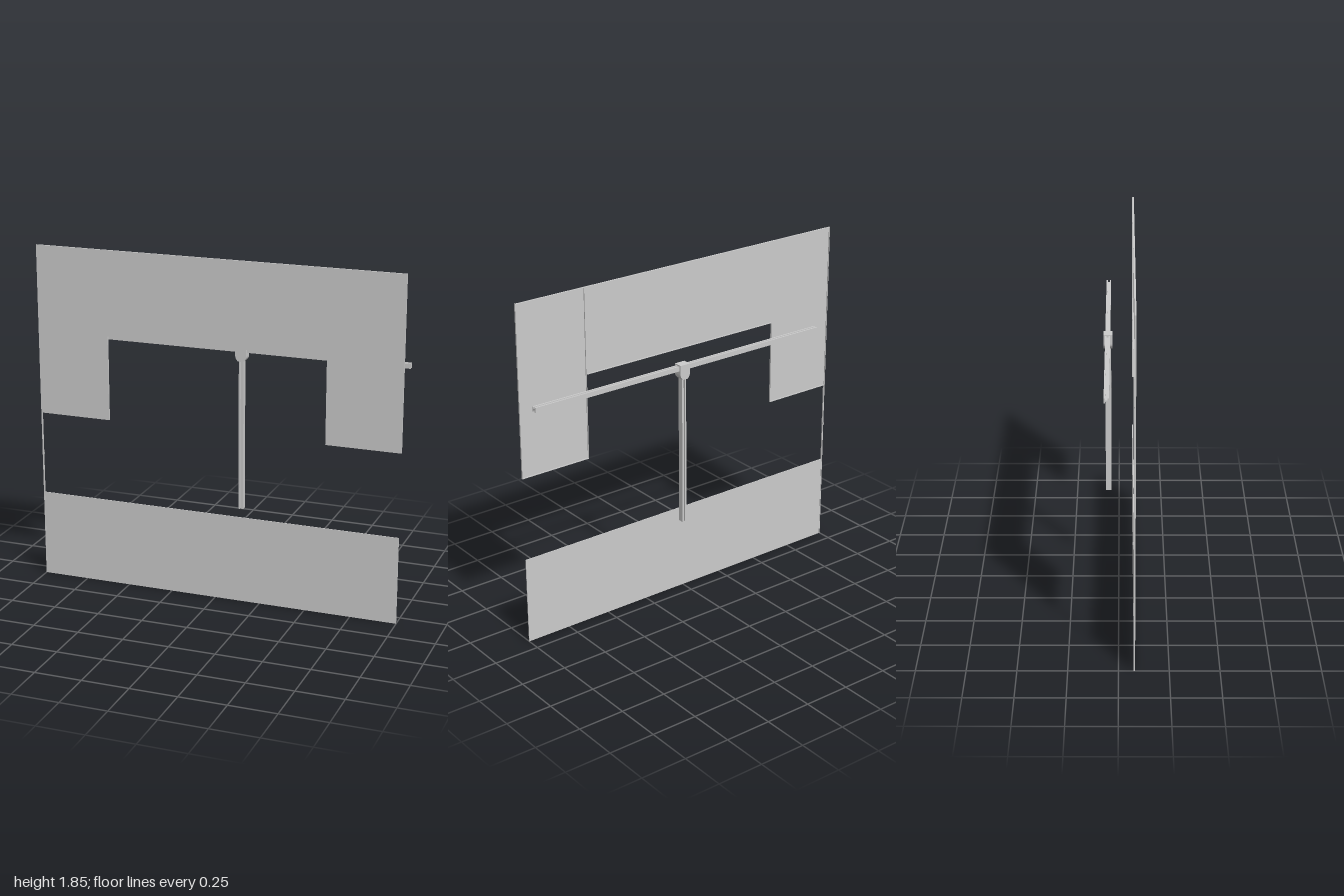
import * as THREE from 'three';

const material = new THREE.MeshStandardMaterial({ color: 0xcccccc, side: THREE.DoubleSide, flatShading: true });

export function createModel() {
  const model = new THREE.Group();

  const add = (name, geometry, parent = model) => {
    const mesh = new THREE.Mesh(geometry, material);
    mesh.name = name;
    parent.add(mesh);
    return mesh;
  };
  // Box given by its lower and upper corners
  const box = (name, x0, x1, y0, y1, z0, z1, parent) =>
    add(name, new THREE.BoxGeometry(x1 - x0, y1 - y0, z1 - z0), parent)
      .position.set((x0 + x1) / 2, (y0 + y1) / 2, (z0 + z1) / 2);
  const extrude = (shape, depth) =>
    new THREE.ExtrudeGeometry(shape, { depth, bevelEnabled: false, curveSegments: 6 });

  // Sheet with a folded lip around its back edge
  const back = 0.073, front = 0.082, sheet = 0.003, lip = 0.003;
  const foldedPanel = (name, points) => {
    const group = new THREE.Group();
    group.name = name;
    const face = add('face', extrude(new THREE.Shape(points.map(p => new THREE.Vector2(...p))), sheet), group);
    face.position.z = front - sheet;
    points.forEach(([ax, ay], i) => {
      const [bx, by] = points[(i + 1) % points.length];
      const dx = Math.sign(bx - ax), dy = Math.sign(by - ay);
      // the inside lies to the left of each counter-clockwise edge
      const cx = bx - dy * lip, cy = by + dx * lip;
      box('lip', Math.min(ax, cx), Math.max(ax, cx), Math.min(ay, cy), Math.max(ay, cy), back, front - sheet, group);
    });
    model.add(group);
  };

  // Upper wall: one L-shaped panel and one straight side panel
  foldedPanel('upperPanel', [[-1, 0.93], [-0.6, 0.93], [-0.6, 1.39], [0.6, 1.39], [0.6, 1.85], [-1, 1.85]]);
  foldedPanel('leftSidePanel', [[0.6, 0.93], [1, 0.93], [1, 1.85], [0.6, 1.85]]);

  // Lower wall and the slim edge strip joining it to the upper wall
  box('lowerPanel', -1, 1, 0, 0.475, 0.076, 0.08);
  box('edgeStrip', -1, -0.994, 0, 0.93, 0.074, 0.082);
  box('stripCatch', -1, -0.995, 0.693, 0.703, 0.067, 0.074);

  // Slotted bar section, with a groove along both z faces
  const slottedBar = (width, depth, length) => {
    const w = width / 2, d = depth / 2, g = w * 0.4, f = d * 0.3;
    const section = [[-w, -d], [-g, -d], [-g, -f], [g, -f], [g, -d], [w, -d],
      [w, d], [g, d], [g, f], [-g, f], [-g, d], [-w, d]];
    return extrude(new THREE.Shape(section.map(p => new THREE.Vector2(...p))), length);
  };

  // Upright post
  const post = add('post', slottedBar(0.026, 0.03, 0.84));
  post.rotation.x = -Math.PI / 2;
  post.position.set(0.1, 0.475, -0.055);

  // Horizontal rail
  const rail = add('rail', slottedBar(0.026, 0.026, 1.8).rotateZ(Math.PI / 2).rotateY(Math.PI / 2));
  rail.rotation.x = Math.PI / 2;
  rail.position.set(-0.8, 1.351, -0.058);

  // Bracket clamping the rail to the post, with rounded lower corners
  const outline = new THREE.Shape();
  outline.moveTo(-0.03, 0.08);
  outline.lineTo(-0.03, 0.03);
  outline.quadraticCurveTo(-0.03, 0.012, -0.014, 0);
  outline.lineTo(0.014, 0);
  outline.quadraticCurveTo(0.03, 0.012, 0.03, 0.03);
  outline.lineTo(0.03, 0.08);
  outline.closePath();
  add('bracket', extrude(outline, 0.048)).position.set(0.1, 1.29, -0.08);

  return model;
}
